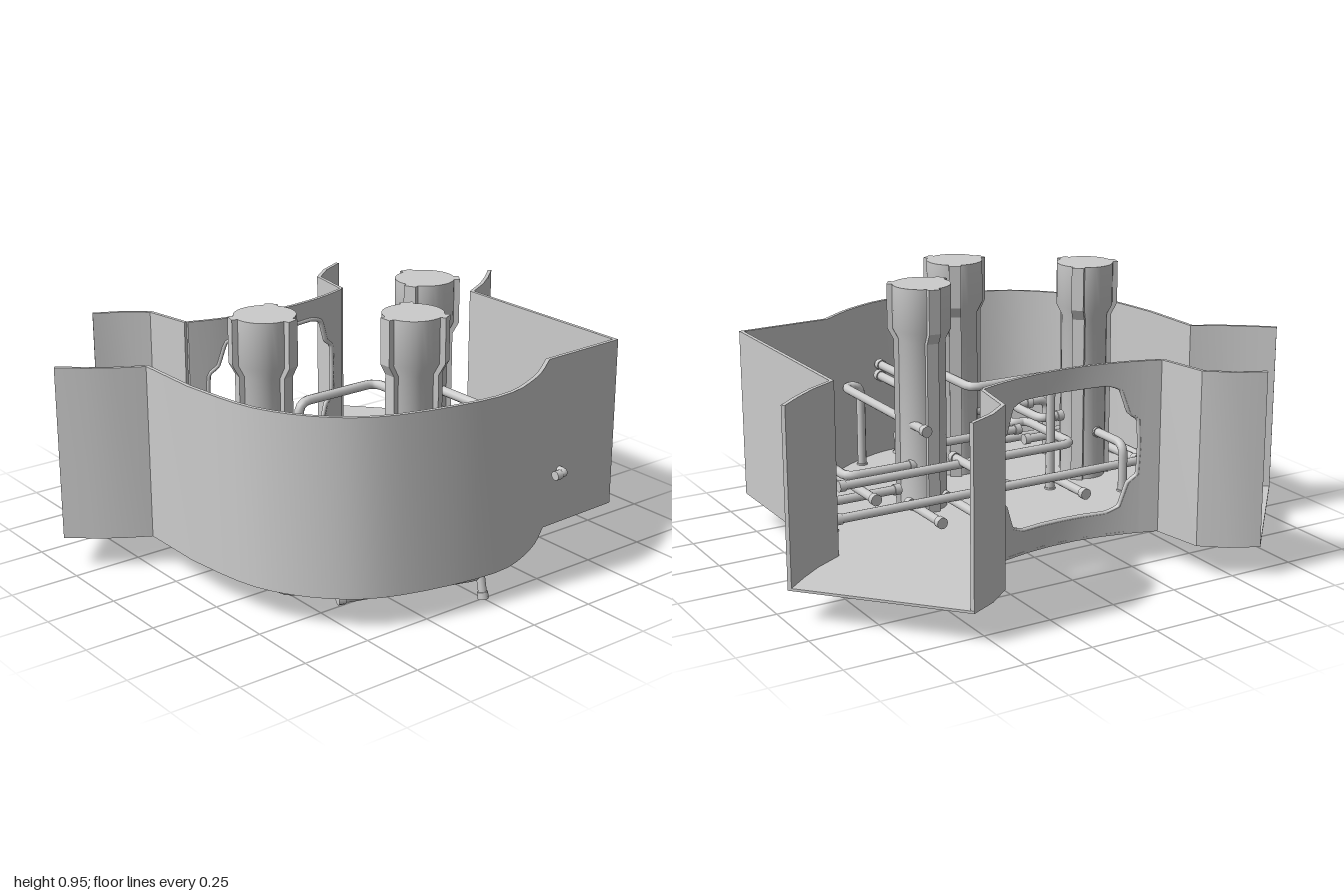
import * as THREE from 'three';
import { mergeGeometries, toCreasedNormals } from 'three/addons/utils/BufferGeometryUtils.js';

const FLOOR = 0.12, TOP = 0.745, WALL = 0.014;
const grey = new THREE.MeshStandardMaterial({ color: 0xcccccc, side: THREE.DoubleSide });

function mesh(name, geometry) {
  const m = new THREE.Mesh(geometry, grey);
  m.name = name;
  return m;
}
const polygon = points => new THREE.Shape(points.map(p => new THREE.Vector2(...p)));
const mirrorZ = line => line.map(([x, z]) => [x, -z]).reverse();

// Extrudes a plan drawn as [x, z] points upward from y0 to y1
function slab(plan, y0, y1) {
  const g = new THREE.ExtrudeGeometry(polygon(plan.map(([x, z]) => [x, -z])), { depth: y1 - y0, bevelEnabled: false });
  return toCreasedNormals(g.rotateX(-Math.PI / 2).translate(0, y0, 0), 0.5);
}

// Thin wall following an open plan line, thickened to one side with mitred corners
function wall(line) {
  const pts = line.map(p => new THREE.Vector2(...p));
  const normal = i => {
    const d = pts[i + 1].clone().sub(pts[i]).normalize();
    return new THREE.Vector2(-d.y, d.x);
  };
  const inner = pts.map((p, i) => {
    const a = normal(Math.max(0, i - 1)), b = normal(Math.min(pts.length - 2, i));
    const n = a.add(b).normalize();
    return p.clone().addScaledVector(n, WALL / n.dot(b));
  });
  return slab([...pts, ...inner.reverse()].map(p => [p.x, p.y]), FLOOR, TOP);
}

// Pipe through corner points with rounded bends and a collar at each end
function pipe(p, r = 0.017, bend = 0.045) {
  const path = new THREE.CurvePath();
  const n = p.length - 1;
  let from = p[0];
  for (let i = 1; i < n; i++) {
    const toward = q => {
      const d = q.clone().sub(p[i]), len = d.length();
      return p[i].clone().addScaledVector(d, Math.min(bend, len * 0.45) / len);
    };
    const a = toward(p[i - 1]), b = toward(p[i + 1]);
    path.add(new THREE.LineCurve3(from, a));
    path.add(new THREE.QuadraticBezierCurve3(a, p[i], b));
    from = b;
  }
  path.add(new THREE.LineCurve3(from, p[n]));
  const parts = [new THREE.TubeGeometry(path, n > 1 ? n * 20 : 1, r, 10)];
  for (const [end, next] of [[p[0], p[1]], [p[n], p[n - 1]]]) {
    const dir = next.clone().sub(end).normalize();
    const collar = new THREE.CylinderGeometry(r * 1.25, r * 1.25, 0.025, 10);
    collar.applyQuaternion(new THREE.Quaternion().setFromUnitVectors(new THREE.Vector3(0, 1, 0), dir));
    parts.push(collar.translate(end.x, end.y, end.z));
  }
  return mergeGeometries(parts);
}
const V = (x, y, z) => new THREE.Vector3(x, y, z);

// Level run that starts at (x, z) and moves by alternating steps along x and z
function run(y, x, z, axis, ...steps) {
  const points = [V(x, y, z)];
  steps.forEach((step, i) => {
    const next = points[i].clone();
    next[(i % 2 === 0) === (axis === 'x') ? 'x' : 'z'] += step;
    points.push(next);
  });
  return points;
}

// Round column with a wider head and three ribs
function column(x, z, turn) {
  const g = new THREE.Group();
  g.name = 'column';
  const profile = (low, high, core) => [[core, FLOOR], [low, FLOOR], [low, 0.755], [high, 0.795], [high, 0.955], [core, 0.955]];
  const body = new THREE.LatheGeometry(polygon(profile(0.085, 0.105, 0)).getPoints(), 32);
  g.add(mesh('columnBody', toCreasedNormals(body, 0.5)));
  const rib = polygon(profile(0.1, 0.122, 0.05));
  for (let i = 0; i < 3; i++) {
    const r = mesh('columnRib', new THREE.ExtrudeGeometry(rib, { depth: 0.045, bevelEnabled: false }).translate(0, 0, -0.0225));
    r.rotation.y = turn + i * Math.PI * 2 / 3;
    g.add(r);
  }
  g.position.set(x, 0, z);
  return g;
}

// Curved inner wall; the window is symmetric about mid height and about z = 0
const MID = 0.435;
const arcX = z => -0.435 - 0.55 * z * z;
const halfEdge = [[0.085, 0.235], [0.17, 0.235], [0.22, 0.215], [0.25, 0.13], [0.285, 0.1], [0.29, 0]];
const windowEdge = [...halfEdge.map(([z, h]) => [-z, h]).reverse(), [0, 0.235], ...halfEdge];
function windowWall() {
  const rows = [[-0.355, 0], ...windowEdge, [0.355, 0]];
  const parts = [];
  for (let i = 0; i < rows.length - 1; i++) {
    const [z0, h0] = rows[i], [z1, h1] = rows[i + 1];
    const below = [[z0, FLOOR], [z1, FLOOR], [z1, MID - h1], [z0, MID - h0]];
    const above = [[z0, MID + h0], [z1, MID + h1], [z1, TOP], [z0, TOP]];
    for (const quad of [below, above]) {
      parts.push(new THREE.ExtrudeGeometry(polygon(quad), { depth: WALL, bevelEnabled: false }).rotateY(-Math.PI / 2));
    }
  }
  const g = mergeGeometries(parts), pos = g.attributes.position;
  for (let i = 0; i < pos.count; i++) pos.setX(i, pos.getX(i) + arcX(pos.getZ(i)) + WALL);
  return toCreasedNormals(g, 0.4);
}
function windowRim() {
  const point = (z, y) => V(arcX(z) + WALL * 0.7, y, z);
  const loop = [...windowEdge.map(([z, h]) => point(z, MID - h)),
    ...windowEdge.slice(1, -1).reverse().map(([z, h]) => point(z, MID + h))];
  return new THREE.TubeGeometry(new THREE.CatmullRomCurve3(loop, true, 'catmullrom', 0.2), 100, 0.009, 6, true);
}

export function createModel() {
  const model = new THREE.Group();
  model.name = 'machineRoom';
  const add = (name, points, r) => model.add(mesh(name, pipe(points, r)));

  // Outline: bowed outer wall with a flared passage at each end, and the inner passage walls
  const flare = [[-0.335, -0.995], [-0.27, -0.92], [-0.21, -0.84], [-0.155, -0.742]];
  const bow = new THREE.SplineCurve([[0.628, -0.39], [0.74, -0.22], [0.803, 0], [0.74, 0.35], [0.62, 0.55], [0.4, 0.692], [0.1, 0.742]]
    .map(p => new THREE.Vector2(...p))).getPoints(24).map(p => [p.x, p.y]);
  const outer = [...flare, [0.615, -0.738], ...bow, ...mirrorZ(flare)];
  const passage = [[-0.81, 0.57], [-0.76, 0.47], [-0.69, 0.385], [-0.5, 0.353]];
  const farPassage = mirrorZ(passage);
  const arc = [0.25, 0.15, 0.05, -0.05, -0.15, -0.25].map(z => [arcX(z), z]);
  model.add(mesh('floor', slab([...outer, ...passage, ...arc, ...farPassage], FLOOR - 0.003, FLOOR + 0.006)));
  model.add(mesh('outerWall', wall(outer)));
  model.add(mesh('passageWall', wall(passage)), mesh('passageWall', wall(farPassage)));
  model.add(mesh('windowWall', windowWall()), mesh('windowRim', windowRim()));

  // Columns
  model.add(column(0.15, -0.23, 0.95), column(0.445, 0.07, 0.55), column(0.16, 0.47, 0.25));

  // Long main pipes, doubled above and below the floor
  for (const y of [0.2, 0.1]) {
    add('mainPipe', run(y, -0.02, -0.66, 'z', 1.31, 0.3));
    add('returnPipe', run(y + 0.1 * (y > FLOOR), 0.03, -0.62, 'z', 0.96, 0.33, -0.06, 0.06));
    add('crossPipe', run(y, 0.47, 0.16, 'z', 0.45, -0.47));
  }

  // Short side inlets, and elbows rising from the floor
  for (const z of [-0.33, -0.18, 0.27]) add('sideInlet', run(0.17, -0.16, z, 'x', 0.23));
  for (const z of [-0.14, 0.48]) add('elbowPipe', [V(-0.1, FLOOR, z), V(-0.1, 0.31, z), V(0.08, 0.31, z)]);

  // Straight and bent runs between the columns
  add('pipe', run(0.25, -0.03, -0.52, 'x', 0.51));
  add('pipe', run(0.3, 0.11, -0.3, 'z', -0.26, 0.3));
  add('pipe', run(0.2, 0.155, -0.66, 'z', 0.32));
  add('pipe', run(0.55, 0.2, -0.255, 'x', 0.24));
  add('pipe', run(0.3, 0.44, -0.18, 'z', 0.18));
  add('pipe', run(0.3, 0.285, -0.24, 'z', 0.49));
  add('pipe', run(0.25, 0.295, 0.3, 'z', 0.28));
  add('pipe', run(0.4, 0.08, 0.31, 'z', -0.08, 0.2, 0.07));
  add('pipe', run(0.5, 0.54, 0.02, 'z', -0.12, 0.2));

  // Runs that drop to the floor at an end
  add('dropPipe', [...run(0.45, 0.02, -0.29, 'x', 0.66, 0.07), V(0.68, FLOOR, -0.22)]);
  add('dropPipe', [V(0.06, FLOOR, 0.26), ...run(0.57, 0.06, 0.26, 'z', -0.34, 0.49), V(0.55, 0.4, -0.08)]);
  add('dropPipe', [...run(0.35, 0.435, 0.14, 'z', 0.34), V(0.435, FLOOR, 0.48)]);
  add('slopedPipe', [V(0.6, 0.14, 0.5), V(0.77, 0.3, 0), V(0.74, FLOOR, -0.03)]);
  add('slopedPipe', [V(0.77, 0.2, 0.02), V(0.72, 0.2, 0.24), V(0.62, 0.2, 0.26)]);

  // Extra pipes hung under the floor
  add('underPipe', run(0.1, -0.15, 0.27, 'x', 0.25));
  add('underPipe', [V(0.2, 0.115, 0.15), V(0.25, 0.08, 0.15), V(0.6, 0.08, 0.15), V(0.66, 0.115, 0.15)]);
  add('underPipe', [V(0.61, 0.1, 0.5), V(0.76, 0.1, 0.02), V(0.55, 0.1, -0.06)]);

  // Broken drain stubs below the floor and a small outlet on the outer wall
  add('drainStub', [V(0.06, FLOOR, -0.64), V(0.04, 0.02, -0.65)], 0.015);
  add('drainStub', [V(0.75, FLOOR, 0.02), V(0.77, 0.03, 0.02)], 0.015);
  add('outlet', run(0.32, 0.61, -0.46, 'x', 0.05, 0.04), 0.014);
  return model;
}
